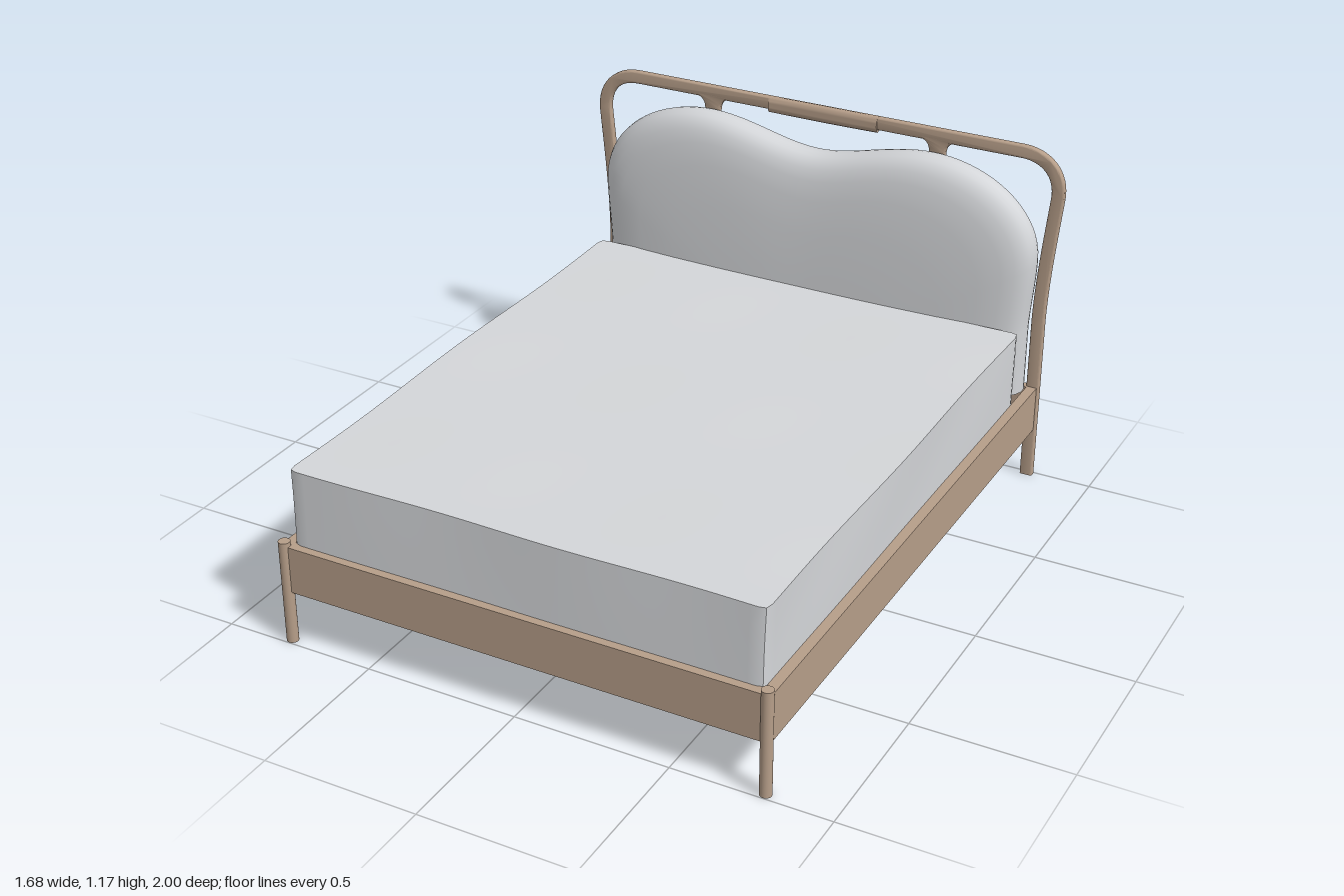
import * as THREE from 'three';
import { toCreasedNormals } from 'three/addons/utils/BufferGeometryUtils.js';

const V = (x, y) => new THREE.Vector2(x, y);

export function createModel() {
  const bed = new THREE.Group();
  bed.name = 'bed';
  const wood = new THREE.MeshStandardMaterial({ color: 0xb69e89 });
  wood.name = 'wood';
  const fabric = new THREE.MeshStandardMaterial({ color: 0xd4d6d9 });
  fabric.name = 'greyFabric';

  const add = (name, geometry, material, x = 0, y = 0, z = 0) => {
    const mesh = new THREE.Mesh(geometry, material);
    mesh.name = name;
    mesh.position.set(x, y, z);
    bed.add(mesh);
    return mesh;
  };
  const box = (name, x0, x1, y0, y1, z0, z1) =>
    add(name, new THREE.BoxGeometry(x1 - x0, y1 - y0, z1 - z0), wood,
      (x0 + x1) / 2, (y0 + y1) / 2, (z0 + z1) / 2);

  // Rails around the base
  box('footRail', -0.775, 0.775, 0.175, 0.33, 0.952, 0.987);
  box('headRail', -0.775, 0.775, 0.175, 0.33, -0.996, -0.968);
  box('leftRail', 0.767, 0.8, 0.175, 0.33, -0.98, 0.975);
  box('rightRail', -0.8, -0.767, 0.175, 0.33, -0.98, 0.975);

  // Slats resting on the centre beam
  box('centreBeam', -0.035, 0.035, 0.208, 0.222, -0.968, 0.952);
  const slats = 16;
  for (let i = 0; i < slats; i++) {
    const z = -0.91 + (i / (slats - 1)) * 1.8;
    box('slat', -0.75, 0.75, 0.222, 0.24, z - 0.04, z + 0.04);
  }

  // Round front legs
  for (const s of [-1, 1]) {
    add('frontLeg', new THREE.CylinderGeometry(0.0185, 0.0185, 0.345, 24), wood, s * 0.787, 0.1725, 0.98);
  }

  // Headboard frame: one bent, soft-edged strip that also forms the back legs
  const half = new THREE.Path();
  half.moveTo(0.785, 0);
  half.lineTo(0.785, 0.55);
  half.bezierCurveTo(0.785, 0.7, 0.805, 0.87, 0.818, 1.0);
  half.bezierCurveTo(0.828, 1.09, 0.77, 1.143, 0.69, 1.143);
  half.lineTo(0, 1.143);
  const line = half.getPoints(16);
  const mid = [...line, ...line.slice(0, -1).reverse().map((p) => V(-p.x, p.y))];
  const edge = (d) => mid.map((p, i) => {
    const t = mid[Math.min(i + 1, mid.length - 1)].clone().sub(mid[Math.max(i - 1, 0)]).normalize();
    return V(p.x + t.y * d, p.y - t.x * d);
  });
  const strip = new THREE.Shape([...edge(0.0215), ...edge(-0.0215).reverse()]);
  const frame = new THREE.ExtrudeGeometry(strip, {
    depth: 0.012, bevelThickness: 0.006, bevelSize: 0.006, bevelOffset: -0.006, bevelSegments: 3,
  });
  // Square off the feet on the floor
  const fp = frame.attributes.position;
  for (let i = 0; i < fp.count; i++) if (fp.getY(i) < 0.01) fp.setY(i, 0);
  add('headboardFrame', toCreasedNormals(frame, 0.6), wood, 0, 0, -0.993);

  // Barrel sleeve in the middle of the top rail
  const barrel = [[0, -0.195], [0.0275, -0.195], [0.0285, -0.1], [0.029, 0], [0.0285, 0.1], [0.0275, 0.195], [0, 0.195]];
  const sleeve = new THREE.LatheGeometry(barrel.map(([x, y]) => V(x, y)), 24);
  add('topRailSleeve', toCreasedNormals(sleeve.rotateZ(Math.PI / 2).scale(1, 1, 0.55), 0.7), wood, 0, 1.138, -0.984);

  // Uprights that flare where they meet the top rail
  const post = new THREE.Shape();
  post.moveTo(-0.028, 0.32);
  post.lineTo(0.028, 0.32);
  post.lineTo(0.028, 1.085);
  post.quadraticCurveTo(0.03, 1.12, 0.064, 1.125);
  post.lineTo(-0.064, 1.125);
  post.quadraticCurveTo(-0.03, 1.12, -0.028, 1.085);
  for (const s of [-1, 1]) {
    const g = new THREE.ExtrudeGeometry(post, {
      depth: 0.008, bevelThickness: 0.008, bevelSize: 0.008, bevelOffset: -0.008, bevelSegments: 4, curveSegments: 10,
    });
    add('headboardUpright', toCreasedNormals(g, 0.6), wood, s * 0.405, 0, -0.99);
  }

  // Headboard cushion: a two-humped outline, shrinking towards the front
  const base = 0.33;
  const outline = new THREE.Shape();
  outline.moveTo(0.765, base);
  outline.lineTo(0.765, 0.56);
  outline.bezierCurveTo(0.768, 0.64, 0.78, 0.72, 0.78, 0.8);
  outline.bezierCurveTo(0.78, 0.97, 0.6, 1.095, 0.4, 1.095);
  outline.bezierCurveTo(0.25, 1.095, 0.13, 1.03, 0, 1.03);
  outline.bezierCurveTo(-0.13, 1.03, -0.25, 1.095, -0.4, 1.095);
  outline.bezierCurveTo(-0.6, 1.095, -0.78, 0.97, -0.78, 0.8);
  outline.bezierCurveTo(-0.78, 0.72, -0.768, 0.64, -0.765, 0.56);
  outline.lineTo(-0.765, base);
  const pts = outline.getPoints(18);
  const rings = [[-0.971, 0.985], [-0.962, 0.995], [-0.945, 1], [-0.925, 0.998], [-0.905, 0.988], [-0.888, 0.97],
    [-0.873, 0.938], [-0.861, 0.885], [-0.851, 0.79], [-0.843, 0.62], [-0.838, 0.4], [-0.836, 0.15]];
  const n = pts.length, pos = [], idx = [];
  for (const [z, s] of rings) for (const p of pts) pos.push(p.x * s, base + (p.y - base) * s, z);
  const front = pos.length / 3, last = (rings.length - 1) * n;
  pos.push(0, base, -0.8355);
  for (let j = 0; j < n; j++) {
    const k = (j + 1) % n;
    for (let i = 0; i < rings.length - 1; i++) {
      const a = i * n + j, b = i * n + k;
      idx.push(a, b, a + n, b, b + n, a + n);
    }
    idx.push(front, last + j, last + k);
  }
  const cushion = new THREE.BufferGeometry();
  cushion.setAttribute('position', new THREE.Float32BufferAttribute(pos, 3));
  cushion.setIndex(idx);
  add('headboardCushion', toCreasedNormals(cushion, 0.8), fabric);

  // Flat back panel of the cushion
  const panel = new THREE.ShapeGeometry(new THREE.Shape(pts.map((p) => V(p.x * 0.985, (p.y - base) * 0.985))));
  add('cushionBack', panel.rotateY(Math.PI), fabric, 0, base, -0.971);

  // Mattress: a box with soft waves, rounded corners and a slightly sloping foot end
  const hx = 0.7675, hy = 0.168, hz = 0.9075, c = 0.02;
  const mattress = new THREE.BoxGeometry(2 * hx, 2 * hy, 2 * hz, 60, 6, 60);
  const mp = mattress.attributes.position;
  for (let i = 0; i < mp.count; i++) {
    let x = mp.getX(i), z = mp.getZ(i);
    const y = mp.getY(i), up = (y + hy) / (2 * hy);
    const ox = Math.max(Math.abs(x) - hx + c, 0), oz = Math.max(Math.abs(z) - hz + c, 0);
    if (ox > 0 && oz > 0) {
      const k = Math.max(ox, oz) / Math.hypot(ox, oz);
      x = Math.sign(x) * (hx - c + ox * k);
      z = Math.sign(z) * (hz - c + oz * k);
    }
    mp.setXYZ(i,
      x + up * 0.003 * Math.sin(z * 6 + y * 9) * (x / hx),
      y + up * 0.002 * Math.sin(x * 7 + 1) * Math.cos(z * 5),
      z - (z > 0 ? up * 0.01 * (z / hz) : 0) + up * 0.003 * Math.sin(x * 8 + 0.5) * (z / hz));
  }
  add('mattress', toCreasedNormals(mattress, 0.6), fabric, 0, 0.408, 0.0555);

  return bed;
}
